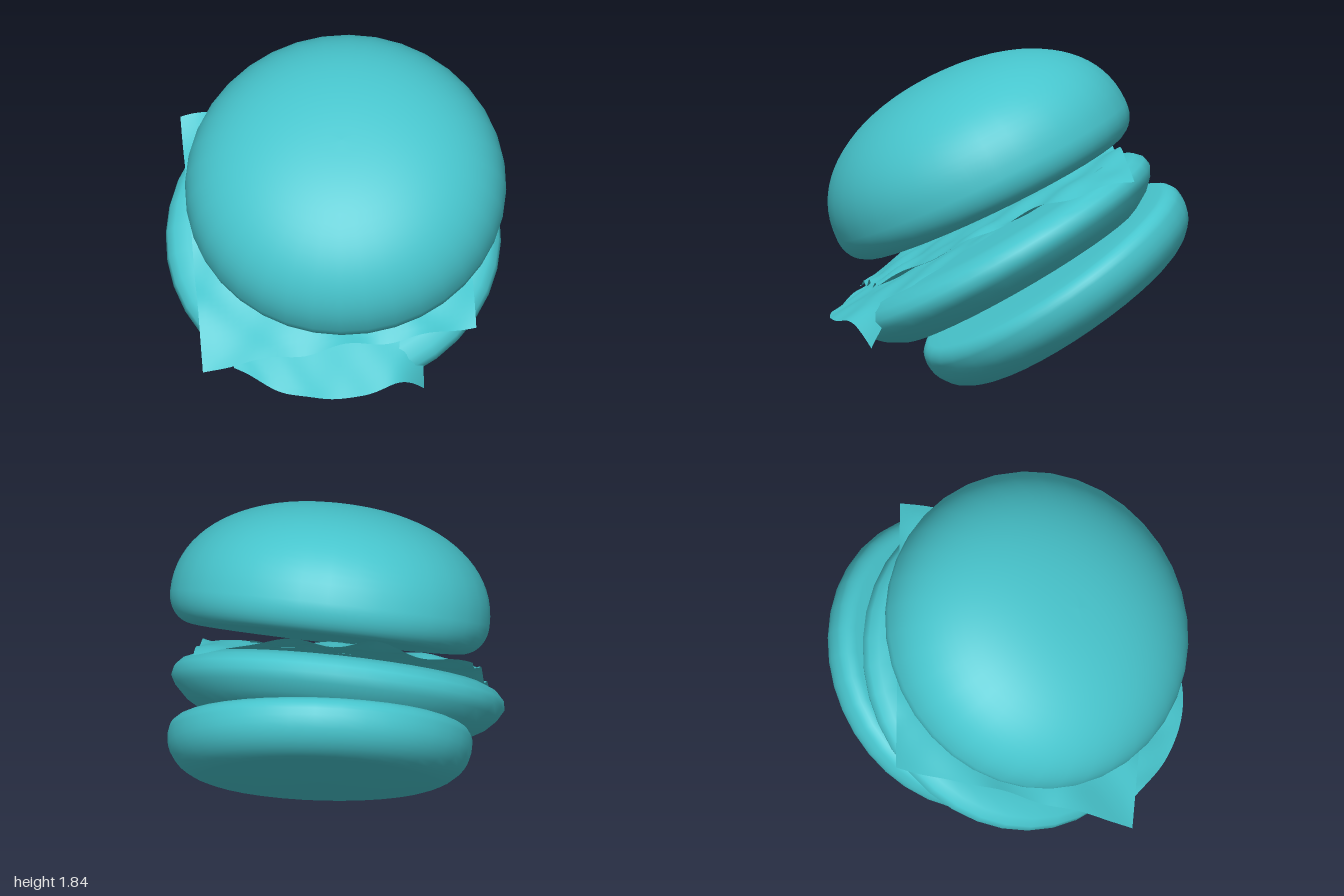
import * as THREE from 'three';

const material = new THREE.MeshStandardMaterial({ color: 0x47c5cd });
const leafMaterial = new THREE.MeshStandardMaterial({ color: 0x47c5cd, side: THREE.DoubleSide });

// Round layer: profile spun about its axis, then tilted so the axis points along "axis"
function layer(name, profile, center, axis) {
  const points = profile.map(([r, y]) => new THREE.Vector2(r, y));
  const mesh = new THREE.Mesh(new THREE.LatheGeometry(points, 36), material);
  mesh.name = name;
  mesh.position.set(...center);
  mesh.quaternion.setFromUnitVectors(new THREE.Vector3(0, 1, 0), new THREE.Vector3(...axis).normalize());
  return mesh;
}

// Profile points along an elliptical arc; power below 1 makes it squarer
function arc(cr, cy, rr, ry, from, to, steps, power = 1) {
  const bend = (t) => Math.sign(t) * Math.abs(t) ** power;
  const out = [];
  for (let i = 0; i <= steps; i++) {
    const a = THREE.MathUtils.degToRad(from + ((to - from) * i) / steps);
    out.push([Math.max(0, cr + rr * bend(Math.cos(a))), cy + ry * bend(Math.sin(a))]);
  }
  return out;
}

// Thin wavy leaf spanning four corners, lying on the tilted filling; a higher
// sharpness keeps the droop closer to the corner tips
function leaf(name, corners, { height, bulge, ripple, phase, sharpness }) {
  const n = 40;
  const geometry = new THREE.PlaneGeometry(1, 1, n, n);
  const position = geometry.attributes.position;
  const plane = (x, z) => height + 0.3 * x - 0.5 * z;
  for (let i = 0; i < position.count; i++) {
    const u = position.getX(i) + 0.5;
    const v = position.getY(i) + 0.5;
    const weights = [(1 - u) * (1 - v), u * (1 - v), u * v, (1 - u) * v];
    let x = 0, z = 0, droop = 0;
    corners.forEach(([cx, cy, cz], k) => {
      x += weights[k] * cx;
      z += weights[k] * cz;
      droop += weights[k] ** sharpness * (cy - plane(cx, cz));
    });
    // Front edge bows outwards
    const bow = bulge * (1 - v) ** 2 * 4 * u * (1 - u);
    x -= bow * 0.3;
    z += bow;
    // Ripples grow towards the rim
    const rim = Math.max(Math.abs(u - 0.5), Math.abs(v - 0.5)) * 2;
    const wave = Math.sin(u * 17 + phase) * Math.cos(v * 14 + phase * 2) + 0.5 * Math.sin((u + v) * 23 + phase);
    const y = plane(x, z) + droop + ripple * (0.25 + 0.75 * rim * rim) * wave;
    position.setXYZ(i, x, y, z);
  }
  geometry.computeVertexNormals();
  const mesh = new THREE.Mesh(geometry, leafMaterial);
  mesh.name = name;
  return mesh;
}

export function createModel() {
  const group = new THREE.Group();
  group.name = 'burger';

  // Bottom bun: broad rounded underside, tight rim, flat top
  group.add(layer('bottomBun', [
    [0, -0.17], [0.4, -0.165],
    ...arc(0.58, 0.05, 0.255, 0.21, -82, 0, 8),
    ...arc(0.755, 0.075, 0.08, 0.085, 8, 86, 6),
    [0.7, 0.165], [0.6, 0.168], [0, 0.17],
  ], [0.185, 0.51, -0.26], [-0.2, 0.83, 0.52]));

  // Patty: thick disc, widest above the middle, with chamfered edges
  group.add(layer('patty', [
    [0, -0.17], [0.66, -0.17], [0.74, -0.163], [0.83, -0.11], [0.89, -0.05],
    [0.918, 0], [0.908, 0.05], [0.87, 0.09], [0.8, 0.12], [0.7, 0.125], [0, 0.125],
  ], [0, 0.735, -0.01], [-0.25, 0.865, 0.43]));

  // Two leaves, corners given as front left, front right, back right, back left
  group.add(leaf('lowerLeaf',
    [[-0.84, 0.42, 0.42], [0.1, 0.27, 0.87], [0.6, 1.23, -0.3], [-0.35, 1.14, -0.62]],
    { height: 0.905, bulge: 0.2, ripple: 0.012, phase: 0.4, sharpness: 8 }));
  group.add(leaf('upperLeaf',
    [[-1, 0.41, 0.36], [0.37, 0.65, 0.97], [0.93, 1.21, -0.32], [-0.51, 1.17, -0.84]],
    { height: 0.975, bulge: 0, ripple: 0.024, phase: 2.1, sharpness: 3 }));

  // Top bun: domed crown, rounded lower rim, flat underside
  group.add(layer('topBun', [
    [0, -0.165], [0.5, -0.165],
    ...arc(0.74, 0, 0.14, 0.165, -86, -10, 8),
    ...arc(0, 0, 0.88, 0.58, 0, 90, 20, 0.92),
  ], [0, 1.175, 0.135], [-0.235, 0.9, 0.365]));

  return group;
}
